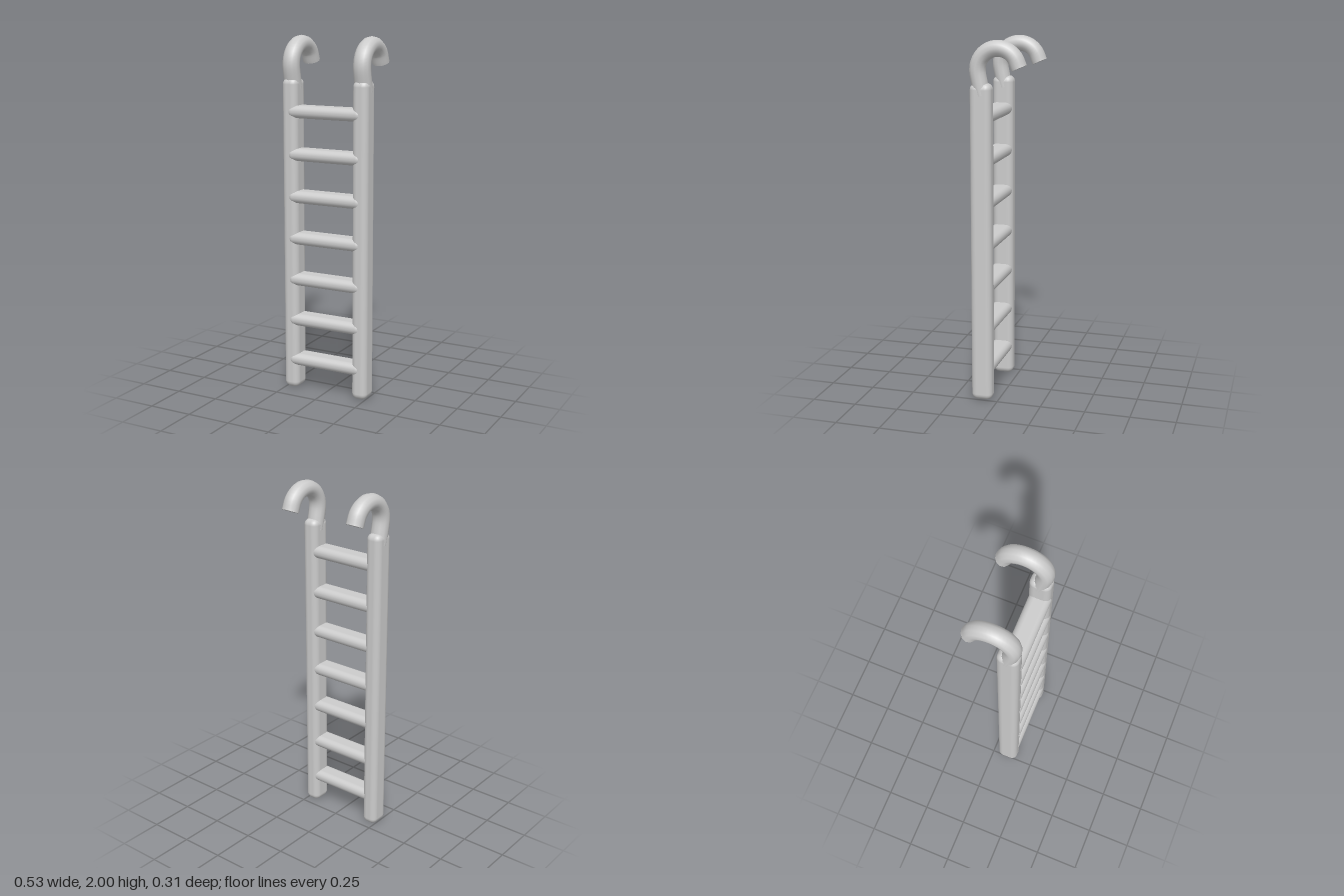
import * as THREE from 'three';
import { RoundedBoxGeometry } from 'three/addons/geometries/RoundedBoxGeometry.js';

export function createModel() {
  const group = new THREE.Group();
  const material = new THREE.MeshStandardMaterial({ color: 0xcccccc });
  const add = (name, geometry, x, y, z) => {
    const mesh = new THREE.Mesh(geometry, material);
    mesh.name = name;
    mesh.position.set(x, y, z);
    group.add(mesh);
    return mesh;
  };

  // Centre line of a hook: shank inside the rail, arc over the top, short straight tip
  const points = [new THREE.Vector3(0, 1.71, 0.085), new THREE.Vector3(0, 1.77, 0.1)];
  for (let i = 0; i <= 6; i++) {
    const a = THREE.MathUtils.degToRad(i * 24);
    points.push(new THREE.Vector3(0, 1.845 + 0.112 * Math.sin(a), 0.112 * Math.cos(a)));
  }
  points.push(new THREE.Vector3(0, 1.856, -0.115));
  const path = new THREE.CatmullRomCurve3(points);

  const hookRadius = 0.044, hookSides = 12;
  const hookGeometry = new THREE.TubeGeometry(path, 32, hookRadius, hookSides, false);
  const capGeometry = new THREE.CircleGeometry(hookRadius, hookSides);
  const railGeometry = new RoundedBoxGeometry(0.092, 1.775, 0.119, 3, 0.035);

  for (const [side, s] of [['left', 1], ['right', -1]]) {
    const x = 0.215 * s;
    add(side + 'Rail', railGeometry, x, 0.8875, 0.0915);
    // Hooks are slightly wider than deep
    add(side + 'Hook', hookGeometry, x, 0, 0).scale.x = 1.11;
    const end = path.getPoint(1);
    const cap = add(side + 'HookEnd', capGeometry, x, end.y, end.z);
    cap.quaternion.setFromUnitVectors(new THREE.Vector3(0, 0, 1), path.getTangent(1));
    cap.scale.x = 1.11;
  }

  // Rungs, evenly spaced, running into the rails
  const rungGeometry = new RoundedBoxGeometry(0.46, 0.07, 0.119, 3, 0.034);
  for (let i = 0; i < 7; i++) {
    add('rung' + (i + 1), rungGeometry, 0, 0.172 + i * 0.2365, 0.0965);
  }
  return group;
}
